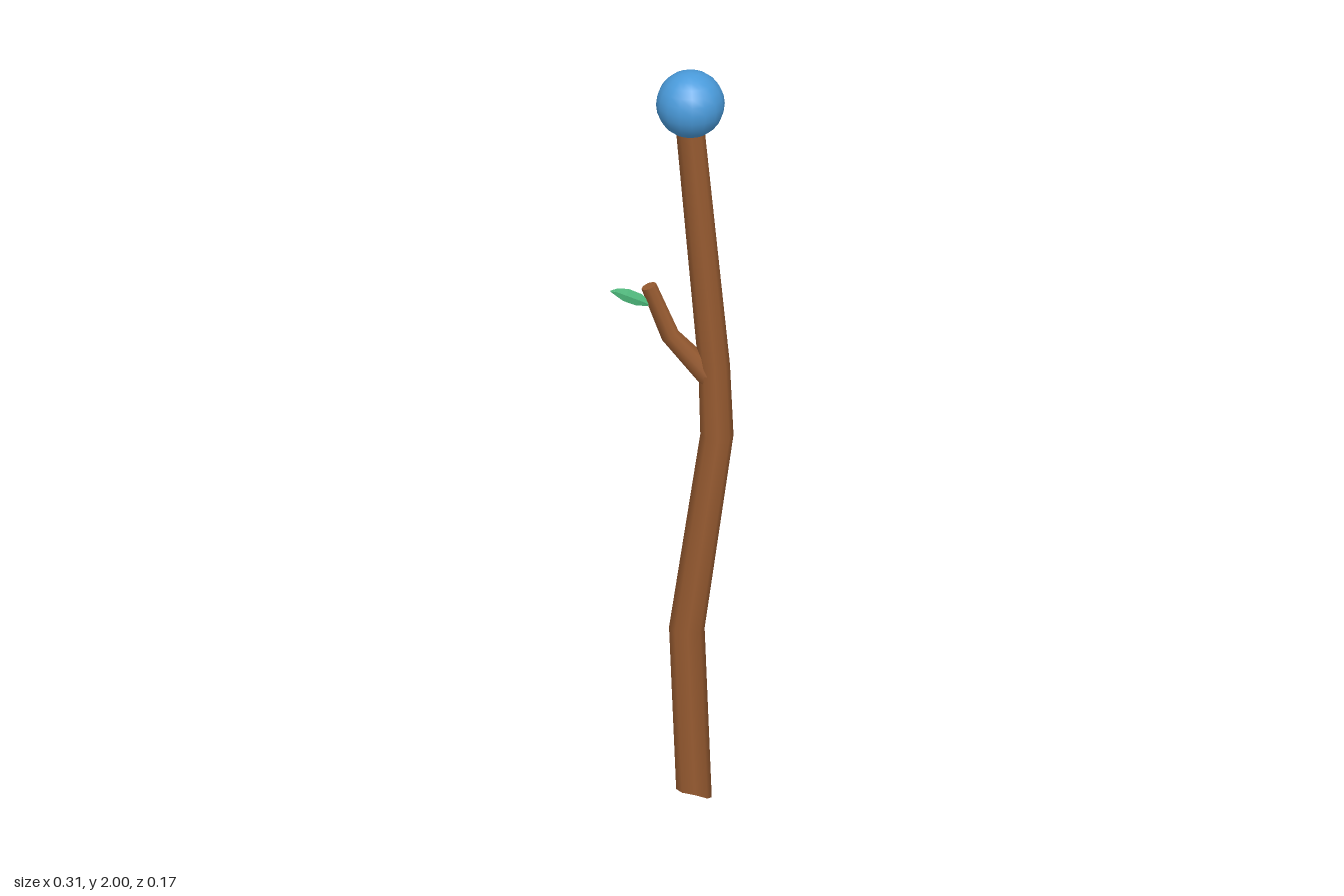
import * as THREE from 'three';

const brown = new THREE.MeshStandardMaterial({ color: 0x965a30, side: THREE.DoubleSide });
const blue = new THREE.MeshStandardMaterial({ color: 0x4a9bdb });
const green = new THREE.MeshStandardMaterial({ color: 0x4fc080, side: THREE.DoubleSide });

// Lofts rings along a path bending in x/y. Each station: [x, y, z, radius, depthRadius = radius].
// reshape(p, angle) may move the points of the first ring.
function loft(stations, sides, startInset = 0, reshape = null) {
  const centres = stations.map(([x, y, z]) => new THREE.Vector3(x, y, z));
  const last = stations.length - 1;
  const pos = [], index = [];
  const rings = stations.map(([, , , r, d = r], i) => {
    const a = centres[Math.max(i - 1, 0)], b = centres[i], c = centres[Math.min(i + 1, last)];
    const before = b.clone().sub(a).normalize(), after = c.clone().sub(b).normalize();
    const t = before.add(after).normalize();
    const across = new THREE.Vector3(t.y, -t.x, 0).normalize();
    return Array.from({ length: sides }, (_, k) => {
      const angle = (k / sides) * Math.PI * 2;
      const p = b.clone().addScaledVector(across, Math.cos(angle) * r);
      p.z += Math.sin(angle) * d;
      if (i === 0 && reshape) reshape(p, angle);
      return p;
    });
  });
  rings.forEach(ring => ring.forEach(p => pos.push(p.x, p.y, p.z)));

  // Side walls
  for (let i = 0; i < last; i++) {
    for (let k = 0; k < sides; k++) {
      const n = (k + 1) % sides;
      const a = i * sides + k, b = i * sides + n, c = a + sides, d = b + sides;
      index.push(a, c, b, b, c, d);
    }
  }

  // End caps with their own vertices so the rims stay sharp
  for (const i of [0, last]) {
    const start = pos.length / 3;
    rings[i].forEach(p => pos.push(p.x, p.y, p.z));
    const c = centres[i].clone();
    if (i === 0) c.y += startInset;
    pos.push(c.x, c.y, c.z);
    for (let k = 0; k < sides; k++) {
      const a = start + k, b = start + ((k + 1) % sides);
      if (i === 0) index.push(start + sides, a, b);
      else index.push(start + sides, b, a);
    }
  }
  const g = new THREE.BufferGeometry();
  g.setAttribute('position', new THREE.Float32BufferAttribute(pos, 3));
  g.setIndex(index);
  g.computeVertexNormals();
  return g;
}

export function createModel() {
  const model = new THREE.Group();
  model.name = 'woodenStaff';
  const add = (name, geometry, material) => {
    const mesh = new THREE.Mesh(geometry, material);
    mesh.name = name;
    model.add(mesh);
    return mesh;
  };

  // Crooked shaft with a roughly broken foot
  add('shaft', loft([
    [0.054, 0.015, 0, 0.045],
    [0.036, 0.47, 0, 0.045],
    [0.112, 1.0, 0, 0.042],
    [0.105, 1.19, 0, 0.04],
    [0.043, 1.86, 0, 0.036],
  ], 8, 0.025, (p, a) => {
    p.y = 0.0125 - 0.0125 * Math.cos(a) + 0.014 * Math.sin(a) ** 2;
  }), brown);

  // Side twig
  add('twig', loft([
    [0.1, 1.155, 0, 0.033],
    [-0.006, 1.276, 0, 0.024],
    [-0.06, 1.413, 0, 0.02],
  ], 8), brown);

  // Small thin leaf
  const leafMaterial = green.clone();
  leafMaterial.flatShading = true;
  add('leaf', loft([
    [-0.06, 1.365, 0.004, 0.006, 0.002],
    [-0.085, 1.378, 0.005, 0.017, 0.004],
    [-0.118, 1.393, 0.007, 0.018, 0.004],
    [-0.142, 1.403, 0.009, 0.01, 0.002],
    [-0.157, 1.407, 0.012, 0.002, 0.001],
  ], 4), leafMaterial);

  // Orb on top
  add('orb', new THREE.SphereGeometry(0.087, 16, 12), blue).position.set(0.045, 1.913, 0);

  return model;
}
